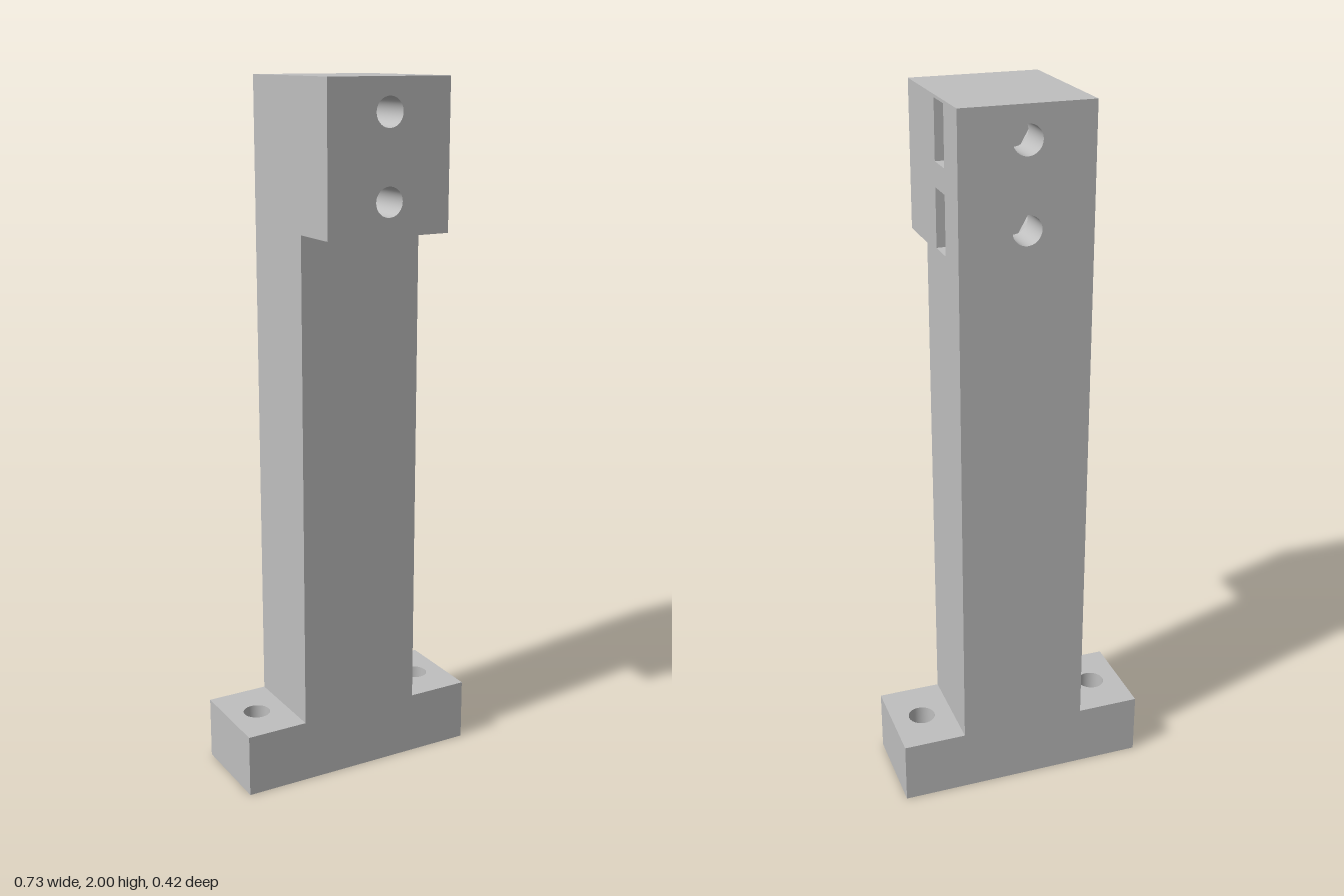
import * as THREE from 'three';

const X = new THREE.Vector3(1, 0, 0), Y = new THREE.Vector3(0, 1, 0), Z = new THREE.Vector3(0, 0, 1);
const NX = X.clone().negate(), NZ = Z.clone().negate();

const W = 0.182, FOOT = 0.363, FOOT_H = 0.182;            // half widths, foot height
const BACK = -0.21, FRONT = 0.063, NOSE = 0.21;           // z planes
const HEAD_Y = 1.595, TOP = 2;
const BOLT_Y = [1.685, 1.912], BOLT_R = 0.04;
const FOOT_X = 0.273, FOOT_Z = -0.0735, FOOT_R = 0.039;
const SLOT_BACK = -0.102, SLOT_FRONT = -0.022, NUT_R = 0.08, NUT_H = 0.07;

const rect = (x0, y0, x1, y1) => [[x0, y0], [x1, y0], [x1, y1], [x0, y1]];
const toPoints = (pts) => pts.map(([x, y]) => new THREE.Vector2(x, y));
const circle = (x, y, r) => new THREE.Path().absarc(x, y, r, 0, Math.PI * 2, true);

export function createModel() {
  const group = new THREE.Group();
  const grey = new THREE.MeshStandardMaterial({ color: 0xbfbfbf, side: THREE.DoubleSide });
  grey.name = 'plain grey';

  const add = (name, geometry) => {
    const mesh = new THREE.Mesh(geometry, grey);
    mesh.name = name;
    group.add(mesh);
    return mesh;
  };

  // Flat face drawn in the u, v plane through (ox, oy, oz), facing u x v
  const face = (name, pts, holes, u, v, ox, oy, oz) => {
    const shape = new THREE.Shape(toPoints(pts));
    shape.holes.push(...holes);
    const basis = new THREE.Matrix4().makeBasis(u, v, u.clone().cross(v)).setPosition(ox, oy, oz);
    return add(name, new THREE.ShapeGeometry(shape, 24).applyMatrix4(basis));
  };

  // Round bore wall between two z planes
  const bore = (name, y, z0, z1) => {
    const g = new THREE.CylinderGeometry(BOLT_R, BOLT_R, z1 - z0, 48, 1, true);
    g.rotateX(Math.PI / 2).translate(0, y, (z0 + z1) / 2);
    add(name, g);
  };

  // Front and back of the upright and its wide foot
  const outline = (top) => [[-FOOT, 0], [FOOT, 0], [FOOT, FOOT_H], [W, FOOT_H],
    [W, top], [-W, top], [-W, FOOT_H], [-FOOT, FOOT_H]];
  const boltHoles = () => BOLT_Y.map((y) => circle(0, y, BOLT_R));
  face('uprightFront', outline(HEAD_Y), [], X, Y, 0, 0, FRONT);
  face('uprightBack', outline(TOP), boltHoles(), NX, Y, 0, 0, BACK);

  // Overhanging head
  face('headFront', rect(-W, HEAD_Y, W, TOP), boltHoles(), X, Y, 0, 0, NOSE);
  face('headTop', rect(-W, -NOSE, W, -BACK), [], X, NZ, 0, TOP, 0);
  face('headUnderside', rect(-W, FRONT, W, NOSE), [], X, Z, 0, HEAD_Y, 0);

  // Sides of the upright and head; nut slots open on the +x side only
  const side = (s) => [[s * BACK, FOOT_H], [s * FRONT, FOOT_H], [s * FRONT, HEAD_Y],
    [s * NOSE, HEAD_Y], [s * NOSE, TOP], [s * BACK, TOP]];
  const slotHoles = BOLT_Y.map((y) => new THREE.Path(
    toPoints(rect(-SLOT_FRONT, y - NUT_R, -SLOT_BACK, y + NUT_R))));
  face('leftSide', side(-1), slotHoles, NZ, Y, W, 0, 0);
  face('rightSide', side(1), [], Z, Y, -W, 0, 0);

  // Foot: underside, ends, tops and vertical screw holes
  face('footUnderside', rect(-FOOT, BACK, FOOT, FRONT),
    [-1, 1].map((s) => circle(s * FOOT_X, FOOT_Z, FOOT_R)), X, Z, 0, 0, 0);
  face('footLeftEnd', rect(-FRONT, 0, -BACK, FOOT_H), [], NZ, Y, FOOT, 0, 0);
  face('footRightEnd', rect(BACK, 0, FRONT, FOOT_H), [], Z, Y, -FOOT, 0, 0);
  for (const s of [-1, 1]) {
    const x0 = s > 0 ? W : -FOOT, x1 = s > 0 ? FOOT : -W;
    face('footTop', rect(x0, -FRONT, x1, -BACK), [circle(s * FOOT_X, -FOOT_Z, FOOT_R)], X, NZ, 0, FOOT_H, 0);
    add('screwHole', new THREE.CylinderGeometry(FOOT_R, FOOT_R, FOOT_H, 48, 1, true)
      .translate(s * FOOT_X, FOOT_H / 2, FOOT_Z));
  }

  // Nut slots: half a hexagon opening into a slightly taller channel
  const pocket = [[W, NUT_R], [0, NUT_R], [0, NUT_H], [-NUT_R / 2, NUT_H], [-NUT_R, 0],
    [-NUT_R / 2, -NUT_H], [0, -NUT_H], [0, -NUT_R], [W, -NUT_R]];
  for (const y of BOLT_Y) {
    const wall = [];
    for (let i = 0; i < pocket.length - 1; i++) {
      const [ax, ay] = pocket[i], [bx, by] = pocket[i + 1];
      const a0 = [ax, ay + y, SLOT_BACK], a1 = [ax, ay + y, SLOT_FRONT];
      const b0 = [bx, by + y, SLOT_BACK], b1 = [bx, by + y, SLOT_FRONT];
      wall.push(...a0, ...b0, ...b1, ...a0, ...b1, ...a1);
    }
    const g = new THREE.BufferGeometry();
    g.setAttribute('position', new THREE.Float32BufferAttribute(wall, 3));
    g.computeVertexNormals();
    add('nutSlotWall', g);
    face('nutSlotBack', pocket, [circle(0, 0, BOLT_R)], X, Y, 0, y, SLOT_BACK);
    face('nutSlotFront', pocket.map(([px, py]) => [-px, py]), [circle(0, 0, BOLT_R)], NX, Y, 0, y, SLOT_FRONT);
    bore('boltHoleBack', y, BACK, SLOT_BACK);
    bore('boltHoleFront', y, SLOT_FRONT, NOSE);
  }

  return group;
}
